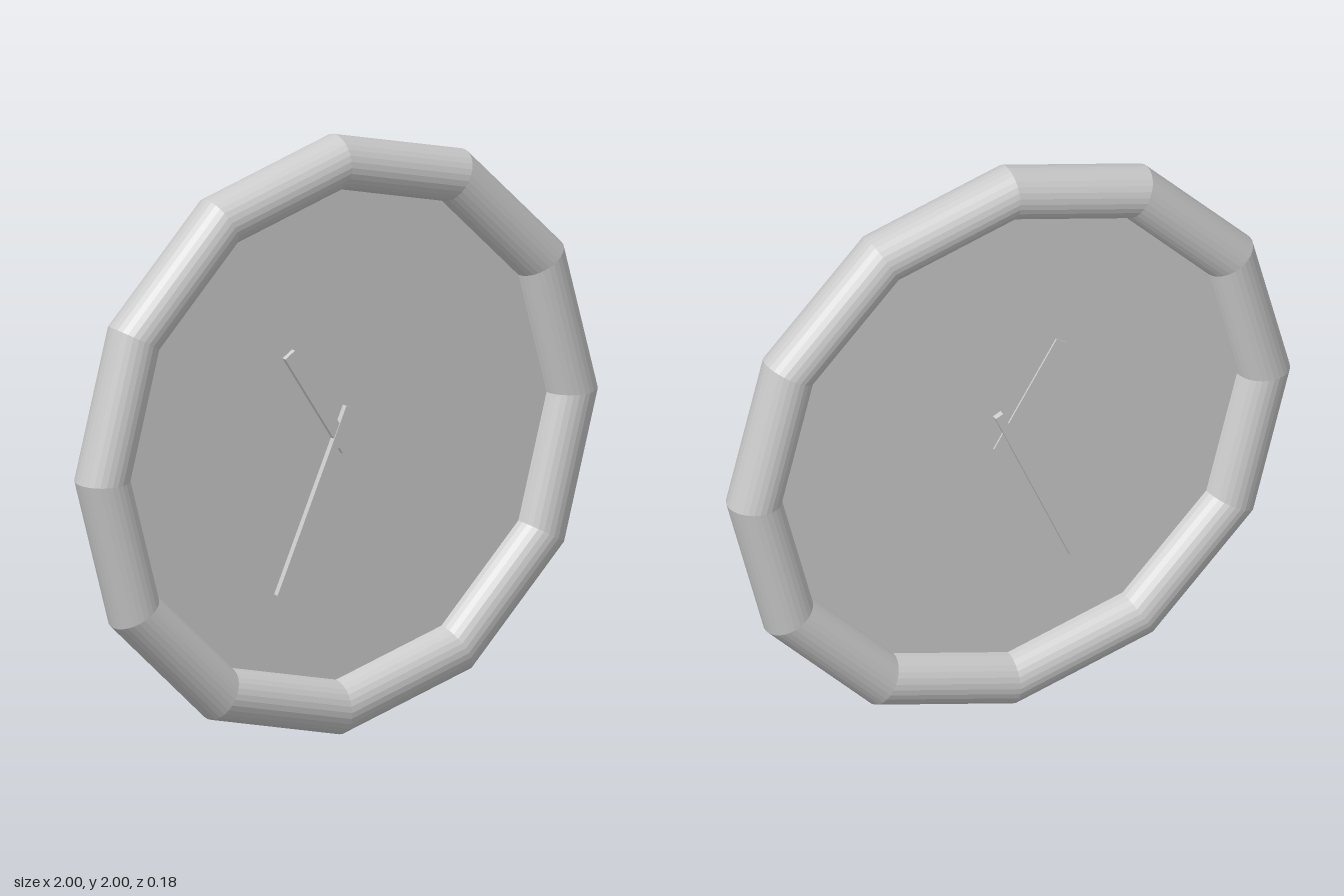
import * as THREE from 'three';

const smooth = new THREE.MeshStandardMaterial({ color: 0xcccccc, flatShading: true });
const thin = new THREE.MeshStandardMaterial({ color: 0xcccccc, side: THREE.DoubleSide });

const SIDES = 12;
const TUBE = 0.09;
const RING = 1 - TUBE;

function addMesh(group, name, geometry, material, y = 1) {
  const mesh = new THREE.Mesh(geometry, material);
  mesh.name = name;
  mesh.position.y = y;
  group.add(mesh);
  return mesh;
}

// A straight bar from tail to tip, reaching through the dial from zBack to zFront
function addHand(group, name, tail, tip, width, zBack, zFront) {
  const dx = tip[0] - tail[0], dy = tip[1] - tail[1];
  const bar = new THREE.BoxGeometry(width, Math.hypot(dx, dy), zFront - zBack);
  const hand = addMesh(group, name, bar, smooth);
  hand.position.set((tail[0] + tip[0]) / 2, (tail[1] + tip[1]) / 2, (zBack + zFront) / 2);
  hand.rotation.z = Math.atan2(-dx, dy);
}

export function createModel() {
  const clock = new THREE.Group();
  clock.name = 'wallClock';

  // Twelve-sided round-section frame
  addMesh(clock, 'frame', new THREE.TorusGeometry(RING, TUBE, 28, SIDES), smooth);

  // Thin dial, its rim tucked into the frame
  addMesh(clock, 'dial', new THREE.CircleGeometry(RING - TUBE + 0.01, SIDES), thin);

  // Hands
  addHand(clock, 'hourHand', [0.035, 0.947], [-0.19, 1.3], 0.044, -0.006, 0.017);
  addHand(clock, 'minuteHand', [0.04, 1.088], [-0.228, 0.5], 0.029, -0.02, 0.02);

  return clock;
}
